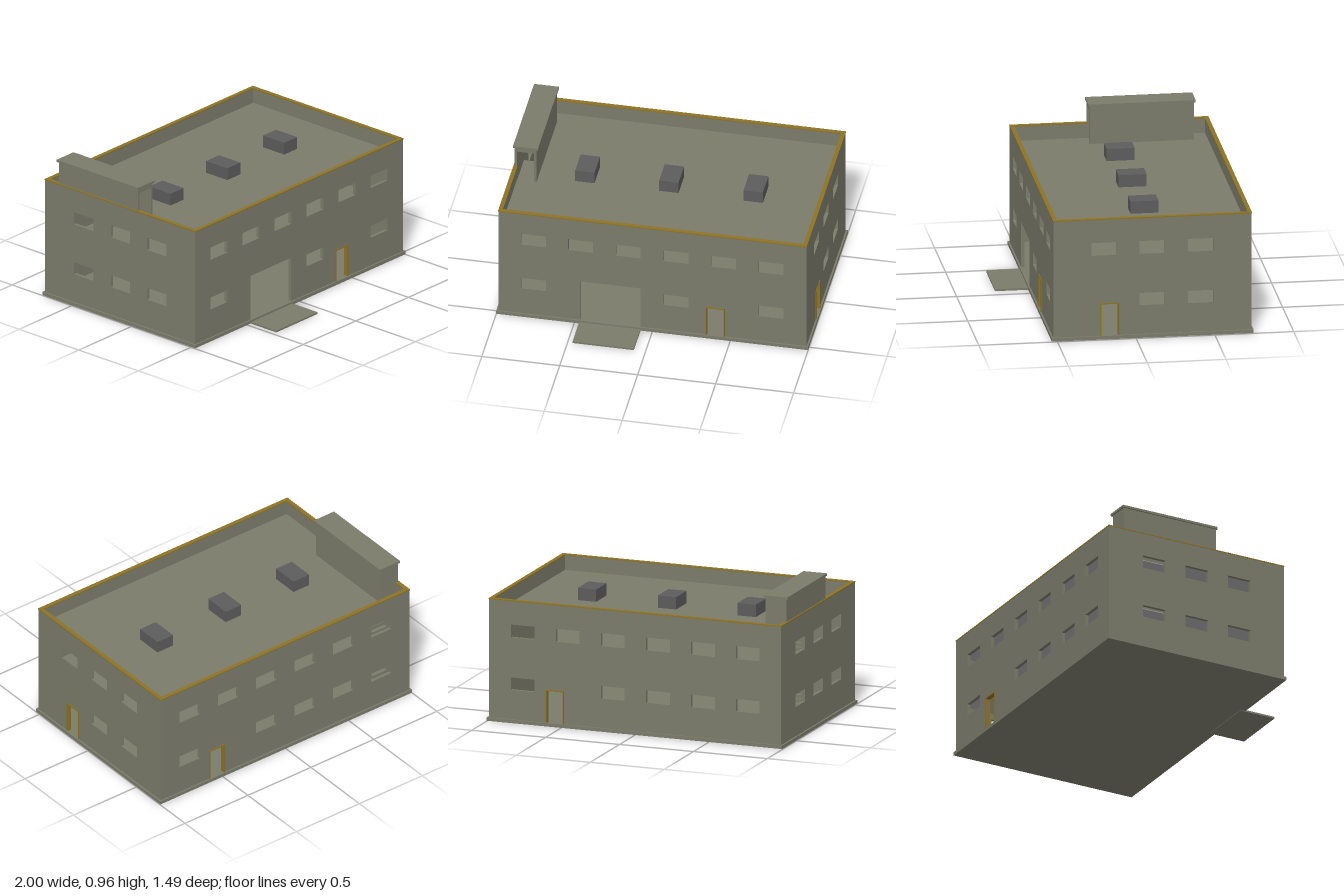
import * as THREE from 'three';

const mat = (name, color) => {
  const m = new THREE.MeshStandardMaterial({ color });
  m.name = name;
  return m;
};

export function createModel() {
  const concrete = mat('concrete', 0x7b7b6b);
  const trim = mat('ochre trim', 0x8c7326);
  const dark = mat('dark metal', 0x5c5c5c);
  const ceilingGrey = mat('ceiling grey', 0xaaaaaa);

  const model = new THREE.Group();
  model.name = 'building';

  const add = (name, geometry, material, parent = model) => {
    const mesh = new THREE.Mesh(geometry, material);
    mesh.name = name;
    parent.add(mesh);
    return mesh;
  };
  // Box given by its limits on each axis
  const box = (name, [x0, x1], [y0, y1], [z0, z1], material = concrete, parent = model) => {
    const g = new THREE.BoxGeometry(x1 - x0, y1 - y0, z1 - z0);
    g.translate((x0 + x1) / 2, (y0 + y1) / 2, (z0 + z1) / 2);
    return add(name, g, material, parent);
  };
  const rectPath = (x0, x1, y0, y1) => {
    const p = new THREE.Path();
    p.moveTo(x0, y0).lineTo(x0, y1).lineTo(x1, y1).lineTo(x1, y0).closePath();
    return p;
  };

  const X0 = -0.988, X1 = 0.988, Z0 = -0.735, Z1 = 0.525, T = 0.022;
  const GROUND = 0.025, FLOOR = 0.36, ROOF = 0.695, TOP = 0.791;
  const LOW = [0.215, 0.296], HIGH = [0.555, 0.639];

  // Wall sheet with window holes and door notches cut up from its base
  function wallGeometry(u0, u1, lowWindows, highWindows, halfWidth, doors) {
    const s = new THREE.Shape();
    s.moveTo(u0, GROUND);
    for (const [a, b, h] of doors) s.lineTo(a, GROUND).lineTo(a, h).lineTo(b, h).lineTo(b, GROUND);
    s.lineTo(u1, GROUND).lineTo(u1, TOP).lineTo(u0, TOP).closePath();
    for (const [centres, [y0, y1]] of [[lowWindows, LOW], [highWindows, HIGH]])
      for (const c of centres) s.holes.push(rectPath(c - halfWidth, c + halfWidth, y0, y1));
    return new THREE.ExtrudeGeometry(s, { depth: T, bevelEnabled: false });
  }

  // Front and back walls
  const columns = [-0.763, -0.46, -0.155, 0.15, 0.455, 0.76];
  const DOOR = 0.236;
  add('frontWall', wallGeometry(X0, X1, [-0.763, 0.15, 0.76], columns, 0.08,
    [[-0.462, -0.078, 0.322], [0.345, 0.46, DOOR]]).translate(0, 0, Z1 - T), concrete);
  add('backWall', wallGeometry(X0, X1, [-0.763, -0.46, -0.155, 0.15, 0.76], columns, 0.08,
    [[0.485, 0.6, DOOR]]).translate(0, 0, Z0), concrete);

  // Side walls: the sheet's u axis runs along -z
  const bays = [-0.202, 0.102, 0.41];
  const side = (name, x, low, doors) => add(name,
    wallGeometry(-Z1 + T, -Z0 - T, low, bays, 0.081, doors).rotateY(Math.PI / 2).translate(x, 0, 0), concrete);
  side('leftWall', X1 - T, bays.slice(1), [[-0.225, -0.108, DOOR]]);
  side('rightWall', X0, bays, []);

  // Plinth and entrance apron
  box('plinth', [-1, 1], [0.003, GROUND], [-0.746, 0.536]);
  box('apron', [-0.468, -0.075], [0, 0.012], [0.5, 0.746]);

  // Slabs with an opening for the stairs
  const stairX = [X0 + T, -0.857], stairZ = [-0.556, -0.151];
  function slab(name, top, thickness, material) {
    const s = new THREE.Shape();
    const a = X0 + T, b = X1 - T, c = Z0 + T, d = Z1 - T;
    s.moveTo(a, c).lineTo(b, c).lineTo(b, d).lineTo(a, d).closePath();
    s.holes.push(rectPath(a + 0.001, stairX[1], stairZ[0], stairZ[1]));
    const g = new THREE.ExtrudeGeometry(s, { depth: thickness, bevelEnabled: false });
    add(name, g.rotateX(Math.PI / 2).translate(0, top, 0), material);
  }
  for (const [name, top] of [['upperFloor', FLOOR], ['roof', ROOF]]) {
    slab(name, top, 0.018, concrete);
    slab(name + 'Ceiling', top - 0.018, 0.004, ceilingGrey);
  }

  // Two stair flights climbing towards the front
  const STEPS = 15, tread = (stairZ[1] - stairZ[0]) / STEPS, rise = (FLOOR - GROUND) / STEPS;
  const profile = new THREE.Shape();
  profile.moveTo(-stairZ[0], 0);
  for (let i = 0; i < STEPS; i++) {
    profile.lineTo(-stairZ[0] - i * tread, (i + 1) * rise);
    profile.lineTo(-stairZ[0] - (i + 1) * tread, (i + 1) * rise);
  }
  profile.lineTo(-stairZ[1], STEPS * rise - 0.035).lineTo(-stairZ[0] - 0.03, 0).closePath();
  const flight = new THREE.ExtrudeGeometry(profile, { depth: stairX[1] - stairX[0] - 0.002, bevelEnabled: false });
  flight.rotateY(Math.PI / 2).translate(stairX[0] + 0.001, 0, 0);
  for (const y of [GROUND, FLOOR]) add('stairFlight', flight, concrete).position.y = y;

  // Coping along the parapet
  const ring = new THREE.Shape();
  const o = 0.002, w = T + 0.003;
  ring.moveTo(X0 - o, Z0 - o).lineTo(X1 + o, Z0 - o).lineTo(X1 + o, Z1 + o).lineTo(X0 - o, Z1 + o).closePath();
  ring.holes.push(rectPath(X0 + w, X1 - w, Z0 + w, Z1 - w));
  add('parapetCoping', new THREE.ExtrudeGeometry(ring, { depth: 0.007, bevelEnabled: false })
    .rotateX(Math.PI / 2).translate(0, TOP + 0.006, 0), trim);

  // Door frames, built at the origin and turned to each wall
  function doorFrame(name, x, z, turn) {
    const frame = new THREE.Group();
    frame.name = name;
    const h = 0.0575, b = 0.008, d = [-T - 0.003, 0.005];
    for (const s of [-1, 1])
      box('jamb', [s * h - b / 2, s * h + b / 2], [GROUND, DOOR - b / 2], d, trim, frame);
    box('head', [-h - b / 2, h + b / 2], [DOOR - b / 2, DOOR + b / 2], d, trim, frame);
    frame.position.set(x, 0, z);
    frame.rotation.y = turn;
    model.add(frame);
  }
  doorFrame('frontDoorFrame', 0.4025, Z1, 0);
  doorFrame('backDoorFrame', 0.5425, Z0, Math.PI);
  doorFrame('sideDoorFrame', X1, 0.1665, Math.PI / 2);

  // Stair bulkhead on the roof, open towards the front
  const bulkhead = new THREE.Group();
  bulkhead.name = 'stairBulkhead';
  model.add(bulkhead);
  const by = [ROOF, 0.943], bz = [-0.625, 0.038];
  box('outerWall', [-0.981, -0.964], by, bz, concrete, bulkhead);
  box('innerWall', [-0.856, -0.84], by, bz, concrete, bulkhead);
  box('rearWall', [-0.964, -0.856], by, [bz[0], bz[0] + 0.016], concrete, bulkhead);
  box('lintel', [-0.964, -0.856], [0.913, 0.943], [bz[1] - 0.016, bz[1]], concrete, bulkhead);
  box('cap', [-0.99, -0.83], [0.943, 0.958], [-0.635, 0.046], concrete, bulkhead);

  // Rooftop ventilation units
  for (const x of [-0.542, -0.003, 0.538])
    box('roofUnit', [x - 0.062, x + 0.062], [ROOF, ROOF + 0.08], [-0.198, -0.02], dark);

  return model;
}
